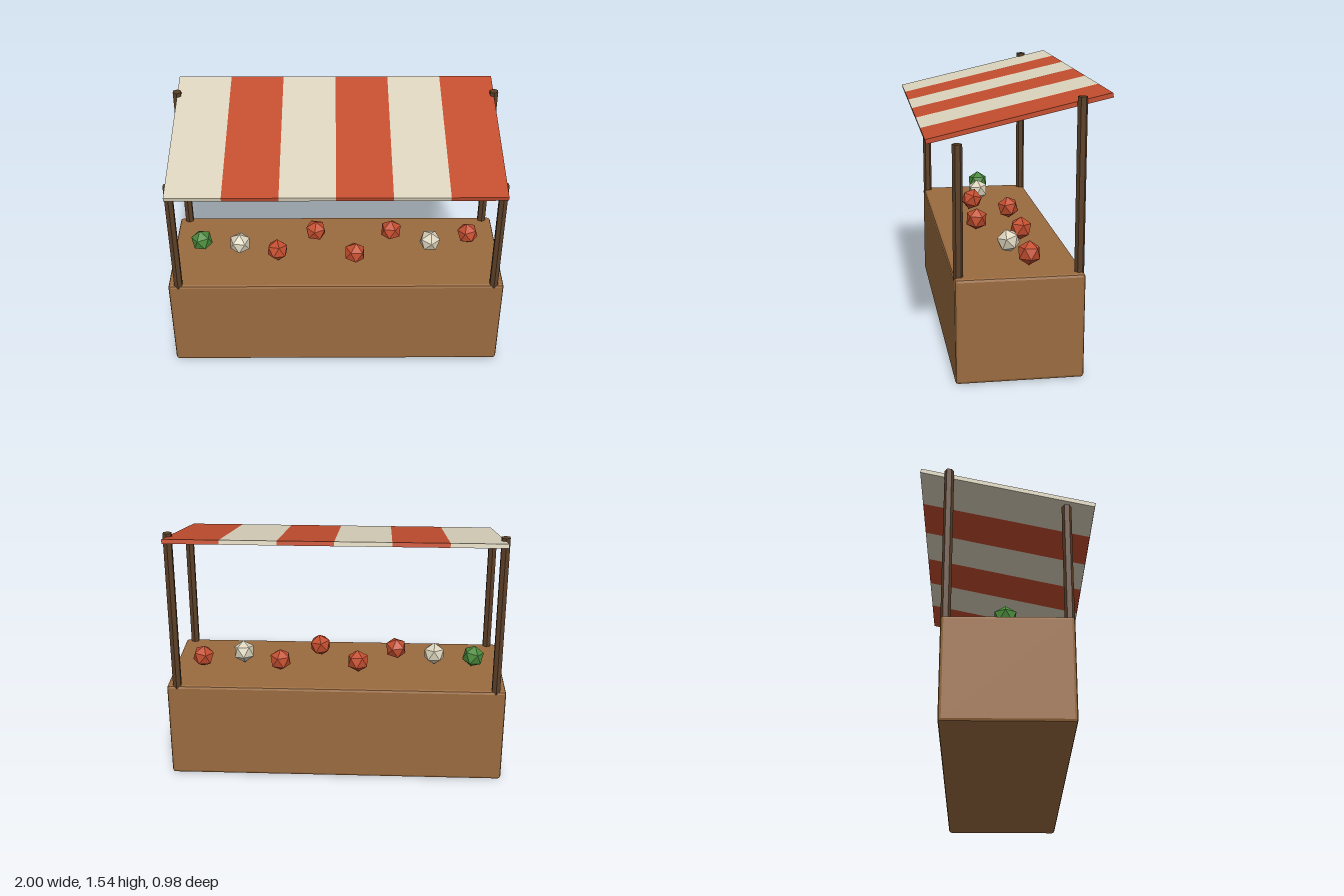
import * as THREE from 'three';
import { RoundedBoxGeometry } from 'three/addons/geometries/RoundedBoxGeometry.js';

function material(name, color) {
  const m = new THREE.MeshStandardMaterial({ color });
  m.name = name;
  m.flatShading = true;
  return m;
}

export function createModel() {
  const wood = material('wood', 0x9a6b3f);
  const darkWood = material('dark wood', 0x5c4028);
  const red = material('red', 0xc44e2f);
  const cream = material('cream', 0xdcd4bd);
  const green = material('green', 0x4a8a3a);

  const stall = new THREE.Group();
  stall.name = 'marketStall';
  const add = (parent, name, geometry, mat, x, y, z) => {
    const mesh = new THREE.Mesh(geometry, mat);
    mesh.name = name;
    mesh.position.set(x, y, z);
    parent.add(mesh);
    return mesh;
  };

  // Counter with narrow chamfered edges
  add(stall, 'counter', new RoundedBoxGeometry(2, 0.59, 0.7, 1, 0.017), wood, 0, 0.295, 0);

  // Six-sided posts, the back pair taller
  const base = 0.57;
  for (const [end, top, z] of [['front', 1.3, 0.325], ['back', 1.53, -0.325]]) {
    for (const [side, x] of [['Left', 0.94], ['Right', -0.94]]) {
      const geometry = new THREE.CylinderGeometry(0.027, 0.027, top - base, 6);
      add(stall, `${end}${side}Post`, geometry, darkWood, x, (top + base) / 2, z);
    }
  }

  // Sloping canopy made of six striped panels
  const canopy = new THREE.Group();
  canopy.name = 'canopy';
  canopy.position.set(0, 1.424, 0);
  canopy.rotation.x = 0.22;
  stall.add(canopy);
  const stripe = 1.88 / 6;
  for (let i = 0; i < 6; i++) {
    const geometry = new THREE.BoxGeometry(stripe, 0.025, 0.995);
    add(canopy, `canopyStripe${i + 1}`, geometry, i % 2 ? red : cream, -0.94 + stripe * (i + 0.5), 0, 0);
  }

  // Faceted produce along the counter: x, z, colour
  const produce = [
    [-0.826, -0.01, green], [-0.59, 0.02, cream], [-0.356, 0.09, red], [-0.125, -0.11, red],
    [0.115, 0.12, red], [0.345, -0.11, red], [0.58, 0, cream], [0.82, -0.075, red],
  ];
  const fruit = new THREE.IcosahedronGeometry(0.068, 0).rotateZ(0.5536); // one corner up
  produce.forEach(([x, z, mat], i) => {
    const mesh = add(stall, `produce${i + 1}`, fruit, mat, x, 0.665, z);
    mesh.rotation.set(0.15 * Math.sin(i * 2.3), i * 0.9, 0.15 * Math.cos(i * 1.7));
  });

  return stall;
}
